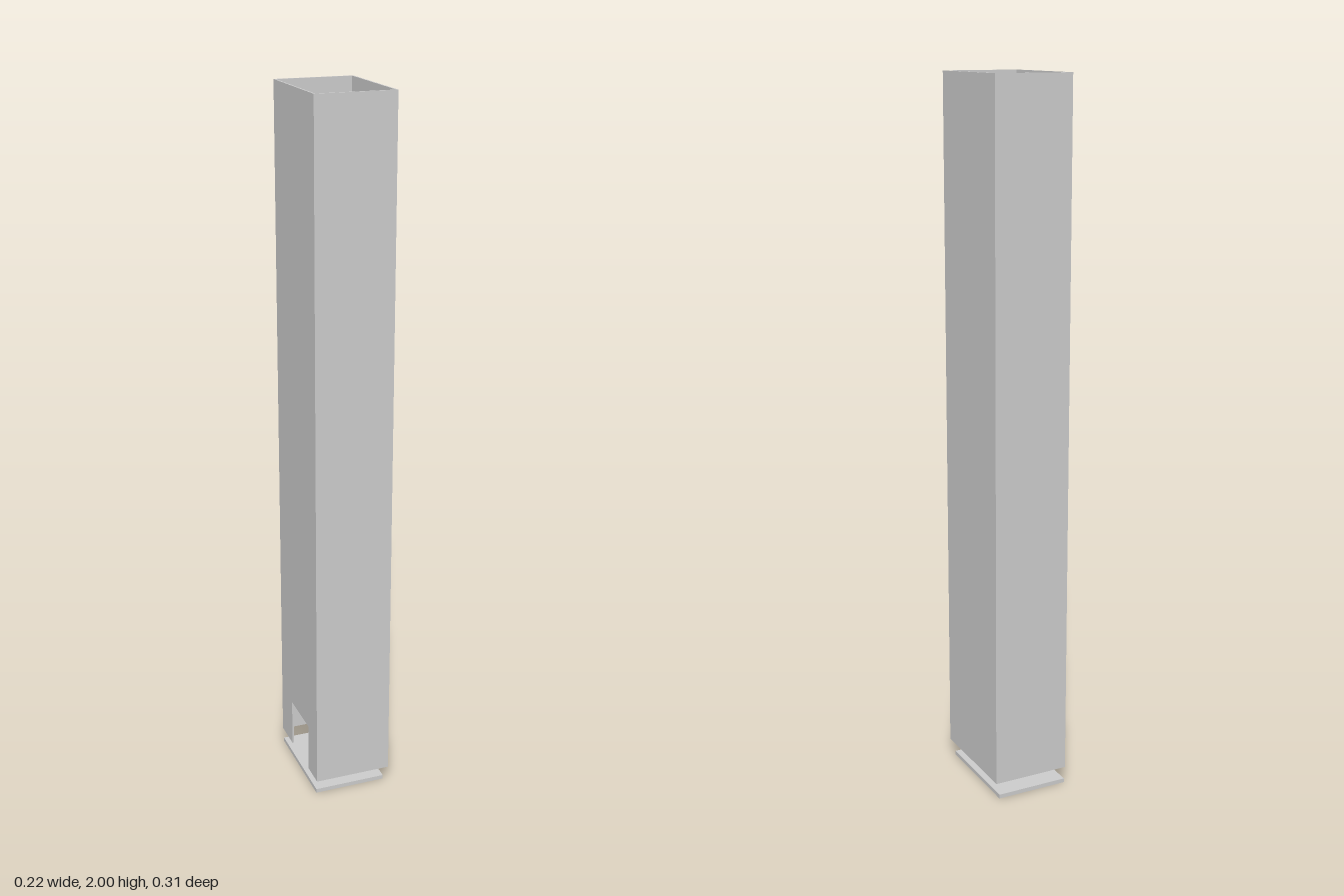
import * as THREE from 'three';

const W = 0.111, D = 0.155;        // outer half width and half depth
const T = 0.005;                   // sheet thickness
const BOTTOM = 0.048, TOP = 2;

export function createModel() {
  const group = new THREE.Group();
  const material = new THREE.MeshStandardMaterial({ color: 0xcccccc, flatShading: true });

  const add = (name, geometry, x = 0, y = 0, z = 0) => {
    const mesh = new THREE.Mesh(geometry, material);
    mesh.name = name;
    mesh.position.set(x, y, z);
    group.add(mesh);
    return mesh;
  };

  // Plain walls of the square-cornered duct
  const height = TOP - BOTTOM, midY = (TOP + BOTTOM) / 2;
  for (const [name, s] of [['frontWall', 1], ['backWall', -1]])
    add(name, new THREE.BoxGeometry(2 * W, height, T), 0, midY, s * (D - T / 2));
  add('plainSideWall', new THREE.BoxGeometry(T, height, 2 * (D - T)), W - T / 2, midY, 0);

  // Side wall with an outlet notch in its lower edge (profile in z and y)
  const inner = D - T, notchTop = BOTTOM + 0.142;
  const profile = new THREE.Shape([
    [-inner, BOTTOM], [-0.064, BOTTOM], [-0.064, notchTop], [0.082, notchTop],
    [0.082, BOTTOM], [inner, BOTTOM], [inner, TOP], [-inner, TOP],
  ].map(([z, y]) => new THREE.Vector2(z, y)));
  const notched = new THREE.ExtrudeGeometry(profile, { depth: T, bevelEnabled: false });
  notched.rotateY(-Math.PI / 2);
  add('notchedSideWall', notched, -W + T, 0, 0);

  // Separate base plate, set flush with the back
  const [x0, x1, z0, z1, h] = [-0.108, 0.101, -D, 0.14, 0.012];
  add('basePlate', new THREE.BoxGeometry(x1 - x0, h, z1 - z0), (x0 + x1) / 2, h / 2, (z0 + z1) / 2);

  return group;
}
